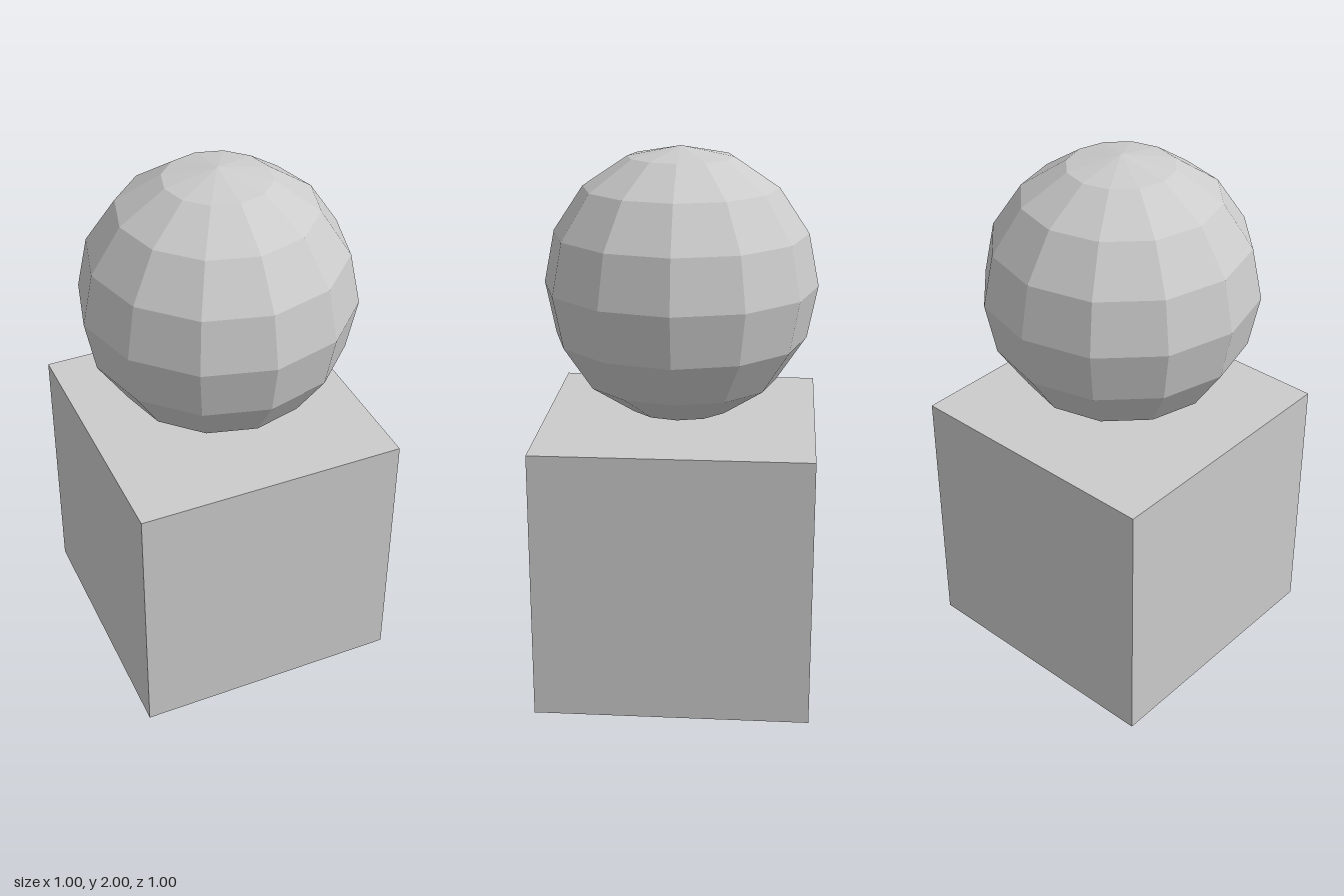
import * as THREE from 'three';

export function createModel() {
  const group = new THREE.Group();
  const material = new THREE.MeshStandardMaterial({ color: 0xcccccc, flatShading: true });

  const addPart = (name, geometry, y) => {
    const mesh = new THREE.Mesh(geometry, material);
    mesh.name = name;
    mesh.position.y = y;
    group.add(mesh);
  };

  // Unit cube standing on the ground
  addPart('cubeBase', new THREE.BoxGeometry(1, 1, 1), 0.5);

  // Faceted ball resting on the cube: 12 sides, 8 bands
  addPart('ball', new THREE.SphereGeometry(0.5, 12, 8), 1.5);

  return group;
}
